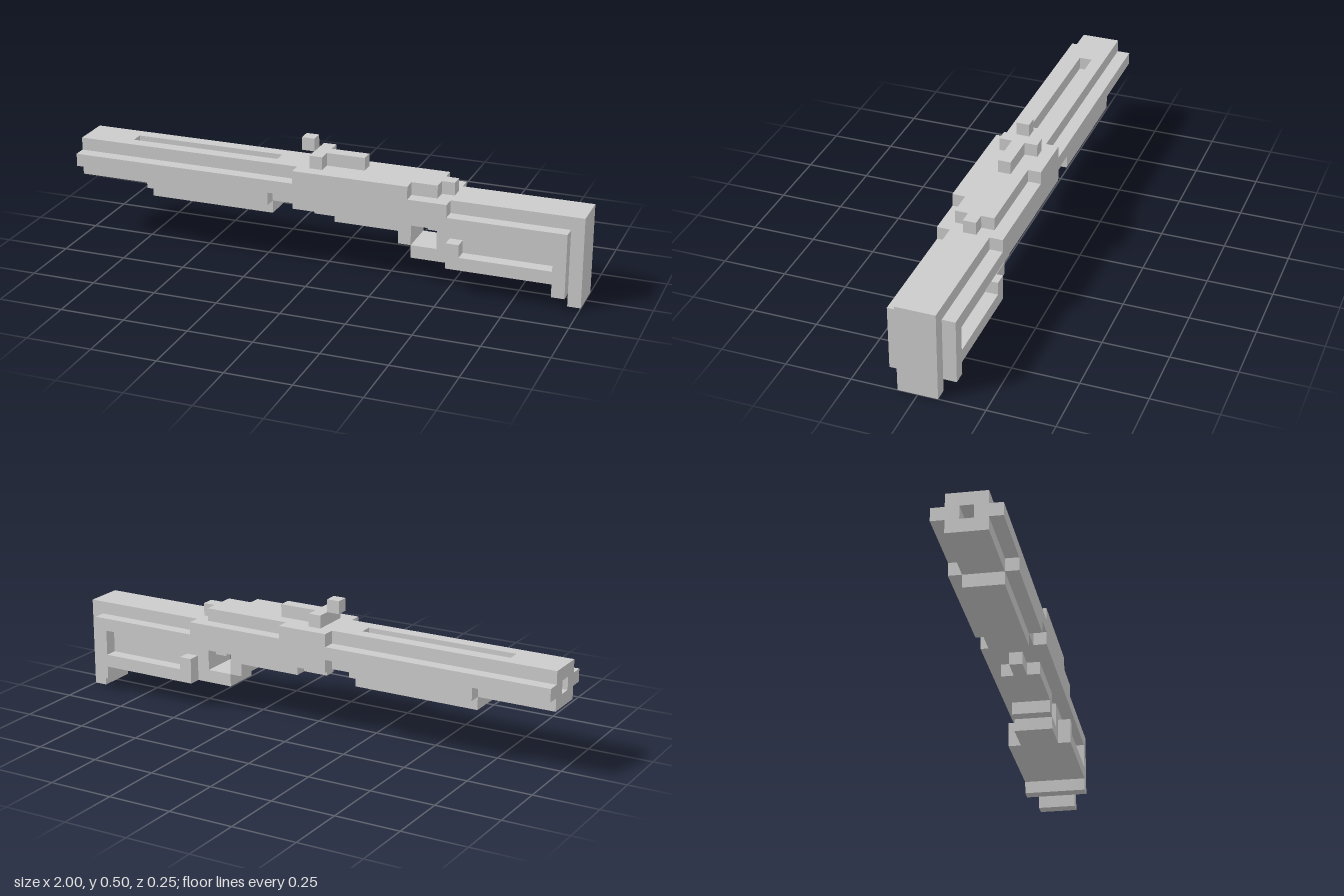
import * as THREE from 'three';

const U = 0.05; // one block; profiles below are in block units
const material = new THREE.MeshStandardMaterial({ color: 0xcccccc, flatShading: true });

// Side profile (x, y in blocks) extruded between two depths
function slab(name, z0, z1, points) {
  const shape = new THREE.Shape(points.map(([x, y]) => new THREE.Vector2(x * U, y * U)));
  const geometry = new THREE.ExtrudeGeometry(shape, { depth: (z1 - z0) * U, bevelEnabled: false });
  geometry.translate(0, 0, z0 * U);
  const mesh = new THREE.Mesh(geometry, material);
  mesh.name = name;
  return mesh;
}

const rect = (x0, y0, x1, y1) => [[x0, y0], [x1, y0], [x1, y1], [x0, y1]];

export function createModel() {
  const model = new THREE.Group();
  model.name = 'rifle';
  const add = (...args) => model.add(slab(...args));
  const addPair = (name, z0, z1, points) => {
    add(name + 'Left', z0, z1, points);
    add(name + 'Right', -z1, -z0, points);
  };

  // Centre layer: bore at the muzzle, slot along the top, trigger in the guard
  add('centreBody', -0.5, 0.5, [
    [-20, 5], [-14, 5], [-14, 4], [-4, 4], [-4, 5], [-1, 5], [-1, 4], [6, 4], [6, 3], [7, 3],
    [7, 5], [8, 5], [8, 4], [9, 4], [9, 3], [7, 3], [7, 2], [18, 2], [18, 1], [19, 1],
    [19, 7], [10, 7], [10, 8], [-4, 8], [-4, 7], [-16, 7], [-16, 8], [-20, 8],
    [-20, 7], [-18, 7], [-18, 6], [-20, 6],
  ]);

  // Layers either side of the centre: barrel, receiver, guard and stock
  addPair('innerBody', 0.5, 1.5, [
    [-20, 5], [-14, 5], [-14, 4], [-4, 4], [-4, 5], [1, 5], [1, 4], [6, 4], [6, 3], [7, 3],
    [7, 5], [9, 5], [9, 3], [7, 3], [7, 2], [18, 2], [18, 1], [19, 1],
    [19, 7], [9, 7], [9, 8], [-20, 8],
  ]);

  // Outer rails with the handguard below them
  addPair('handguardRail', 1.5, 2.5, [
    [-20, 6], [-14, 6], [-14, 5], [-4, 5], [-4, 6], [-2, 6], [-2, 7], [-20, 7],
  ]);

  // Receiver plates, the right one cut shorter along its top
  const receiver = (top) => [[-2, 5], [10, 5], [10, 7], [top, 7], [top, 8], [-2, 8]];
  add('receiverPlateLeft', 1.5, 2.5, receiver(7));
  add('receiverPlateRight', -2.5, -1.5, receiver(2));

  // Stock frames around a recessed panel
  addPair('stockFrame', 1.5, 2.5, [
    [10, 2], [18, 2], [18, 1], [19, 1], [19, 6], [10, 6], [10, 5], [18, 5],
    [18, 3], [11, 3], [11, 4], [10, 4],
  ]);

  // Butt plate
  add('buttPlate', -1.5, 1.5, rect(19, 0, 20, 7));

  // Sight blocks on top
  add('sightCrossBlock', -1.5, 1.5, rect(-1, 8, 0, 9));
  add('sightRail', -0.5, 0.5, rect(0, 8, 3, 9));
  add('sightPost', -0.5, 0.5, rect(-2, 9, -1, 10));

  return model;
}
